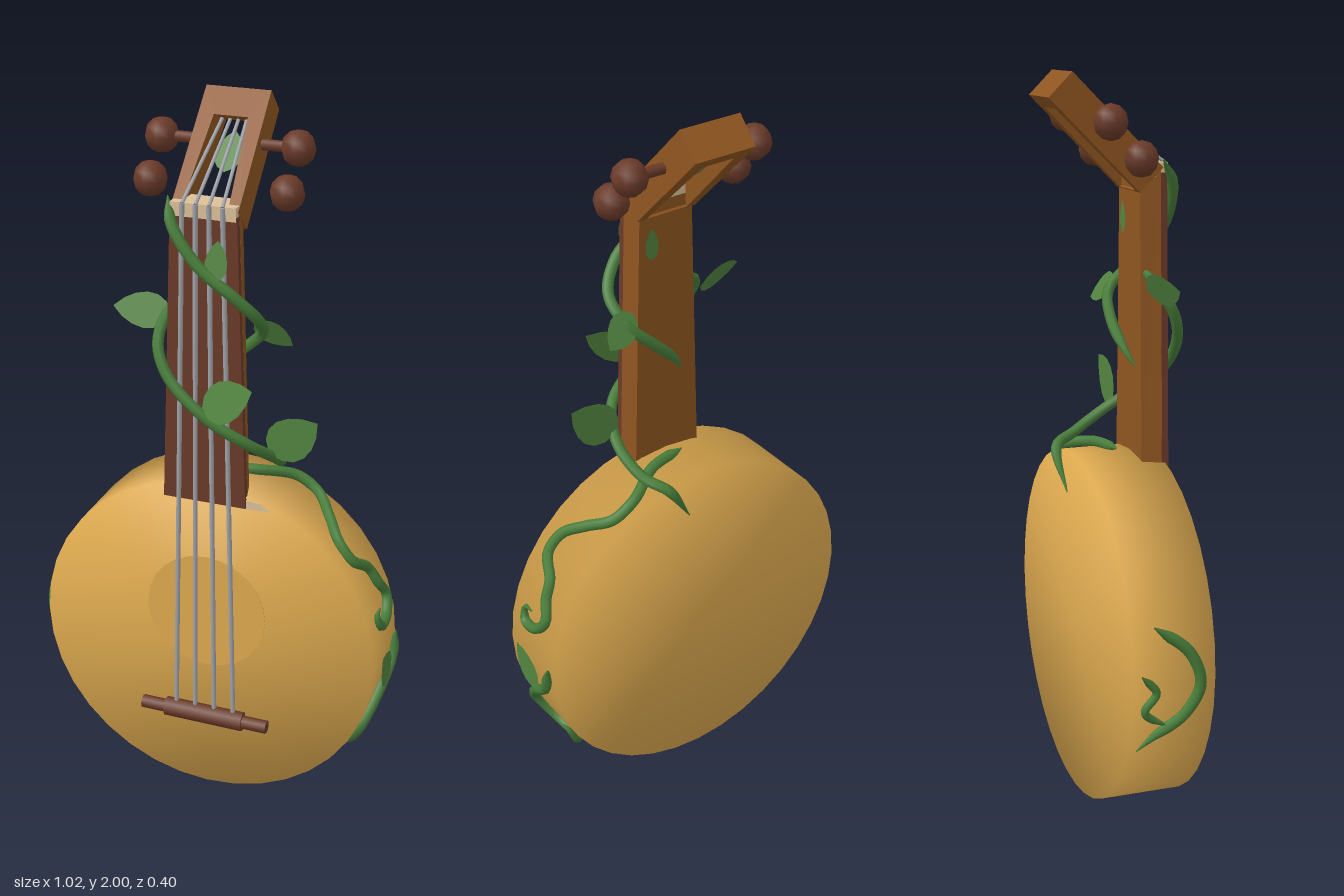
import * as THREE from 'three';
import { mergeVertices } from 'three/addons/utils/BufferGeometryUtils.js';

const mat = (name, color, side = THREE.FrontSide) => {
  const m = new THREE.MeshStandardMaterial({ color, side });
  m.name = name;
  return m;
};
const V = (x, y, z) => new THREE.Vector3(x, y, z);
const flat = list => list.map(p => new THREE.Vector2(...p));
const CY = 0.493, R = 0.489; // drum centre height and radius

export function createModel() {
  const root = new THREE.Group();
  const gold = mat('golden wood', 0xdfab50);
  const wood = mat('brown wood', 0x8f5520);
  const dark = mat('dark red wood', 0x6a3a29);
  const steel = mat('string steel', 0x9fa2a8);
  const bone = mat('bone', 0xdcc09a);
  const vineGreen = mat('vine green', 0x487d3a);
  const leafGreen = mat('leaf green', 0x528440, THREE.DoubleSide);

  const add = (name, geometry, material, x = 0, y = 0, z = 0) => {
    const mesh = new THREE.Mesh(geometry, material);
    mesh.name = name;
    mesh.position.set(x, y, z);
    root.add(mesh);
    return mesh;
  };
  // Straight round bar between two points
  const rod = (name, a, b, r, material, sides = 8) => {
    const d = b.clone().sub(a);
    const m = add(name, new THREE.CylinderGeometry(r, r, d.length(), sides), material);
    m.position.copy(a).add(b).multiplyScalar(0.5);
    m.quaternion.setFromUnitVectors(V(0, 1, 0), d.normalize());
  };

  // Drum body, with normals blended softly over the rim
  let drum = new THREE.CylinderGeometry(R, R, 0.225, 36);
  drum.deleteAttribute('normal');
  drum.deleteAttribute('uv');
  drum = mergeVertices(drum, 1e-4);
  drum.rotateX(Math.PI / 2);
  drum.computeVertexNormals();
  add('body', drum, gold, 0, CY, -0.0085);
  add('soundDisc', new THREE.CylinderGeometry(0.175, 0.175, 0.004, 24).rotateX(Math.PI / 2), gold, 0, 0.585, 0.104);

  // Tapered neck slabs: wide at the body, narrower at the nut and at the back
  const slab = (name, y0, y1, z0, z1, back, material) => {
    const g = new THREE.BoxGeometry(1, y1 - y0, z1 - z0).toNonIndexed();
    const p = g.attributes.position;
    for (let i = 0; i < p.count; i++) {
      const w = p.getY(i) > 0 ? 0.18 : 0.235;
      p.setX(i, p.getX(i) * w * (p.getZ(i) < 0 ? back : 1));
    }
    g.computeVertexNormals();
    add(name, g, material, 0, (y0 + y1) / 2, (z0 + z1) / 2);
  };
  slab('neck', 0.94, 1.75, 0.042, 0.096, 0.88, wood);
  slab('fingerboard', 0.935, 1.74, 0.095, 0.114, 1, dark);

  // Small pale inlay beside the foot of the neck
  const inlay = new THREE.Shape(flat([[0.115, 0.93], [0.185, 0.934], [0.155, 0.953], [0.115, 0.957]]));
  add('neckInlay', new THREE.ExtrudeGeometry(inlay, { depth: 0.004, bevelEnabled: false }), bone, 0, 0, 0.103);

  // Slotted headstock, leaning back, with the slot longer at the back
  const head = new THREE.Shape(flat([[-0.09, 0], [0.09, 0], [0.088, 0.348], [-0.088, 0.348]]));
  head.holes.push(new THREE.Path(flat([[-0.062, 0.004], [-0.046, 0.265], [0.046, 0.265], [0.062, 0.004]])));
  const headGeo = new THREE.ExtrudeGeometry(head, { depth: 0.09, bevelEnabled: false });
  const hp = headGeo.attributes.position;
  for (let i = 0; i < hp.count; i++) {
    if (hp.getZ(i) < 0.01 && Math.abs(hp.getY(i) - 0.265) < 0.001) hp.setY(i, 0.305);
  }
  headGeo.computeVertexNormals();
  add('headstock', headGeo, wood, 0, 1.69, 0.04).rotation.x = -Math.PI / 4;

  // Nut, with tuning pegs on both sides
  add('nut', new THREE.BoxGeometry(0.176, 0.036, 0.076), bone, 0, 1.748, 0.079);
  for (const s of [-1, 1]) {
    rod('pegShaft', V(s * 0.07, 1.878, -0.074), V(s * 0.185, 1.878, -0.074), 0.015, dark);
    for (const [y, z] of [[1.878, -0.074], [1.785, 0.008]]) {
      add('tuningPeg', new THREE.SphereGeometry(0.047, 8, 6), dark, s * 0.185, y, z);
    }
  }

  // Bridge
  rod('bridgeBar', V(-0.19, 0.25, 0.122), V(0.19, 0.25, 0.122), 0.019, dark);
  rod('bridgeBlock', V(-0.118, 0.25, 0.12), V(0.118, 0.25, 0.12), 0.028, dark);

  // Four strings from bridge over the nut into the slot
  for (const t of [-1.5, -0.5, 0.5, 1.5]) {
    const a = V(t * 0.058, 0.26, 0.119), b = V(t * 0.036, 1.765, 0.12), c = V(t * 0.022, 1.925, -0.11);
    rod('string', a, b, 0.007, steel);
    rod('stringEnd', b, c, 0.005, steel);
  }

  // Vines: tubes that thin towards both ends
  const vine = (name, points, r = 0.0155) => {
    const curve = new THREE.CatmullRomCurve3(points);
    const n = points.length * 6, sides = 7;
    const g = new THREE.TubeGeometry(curve, n, r, sides);
    const p = g.attributes.position, v = V(0, 0, 0);
    for (let i = 0; i <= n; i++) {
      const c = curve.getPointAt(i / n);
      const k = Math.min(1, 0.1 + 0.25 * i, 0.1 + 0.12 * (n - i));
      for (let j = 0; j <= sides; j++) {
        const q = i * (sides + 1) + j;
        v.fromBufferAttribute(p, q).sub(c).multiplyScalar(k).add(c);
        p.setXYZ(q, v.x, v.y, v.z);
      }
    }
    add(name, g, vineGreen);
  };
  const path = list => list.map(p => V(...p));
  // Points given as height and depth, laid on the drum's rim
  const rim = (side, list) => list.map(([y, z]) =>
    V(side * Math.sqrt(Math.max(0, (R + 0.008) ** 2 - (y - CY) ** 2)), y, z));

  vine('upperNeckVine', path([[-0.1, 1.775, 0.1], [-0.075, 1.71, 0.135], [0, 1.615, 0.15], [0.09, 1.545, 0.143],
    [0.142, 1.475, 0.1], [0.13, 1.41, 0.03], [0.06, 1.34, 0.01], [-0.02, 1.26, 0.025], [-0.05, 1.21, 0.05]]));
  vine('lowerNeckVine', path([[-0.06, 1.5, 0.045], [-0.115, 1.45, 0.075], [-0.125, 1.38, 0.12], [-0.085, 1.3, 0.148],
    [0.02, 1.205, 0.155], [0.125, 1.13, 0.12], [0.17, 1.06, 0.03], [0.155, 1.0, -0.07], [0.115, 0.975, -0.13], [0.04, 0.86, -0.124]]));
  vine('shoulderVine', [V(-0.02, 0.99, 0.0), V(0.1, 0.985, -0.03), V(0.2, 0.955, -0.09),
    ...rim(1, [[0.915, -0.085], [0.88, -0.025], [0.84, 0.03], [0.79, 0.035], [0.745, -0.02], [0.7, -0.035],
      [0.65, -0.06], [0.605, -0.025], [0.6, 0.03], [0.635, 0.042], [0.64, 0.005]])]);
  vine('leftSideVine', rim(1, [[0.515, -0.1], [0.43, -0.075], [0.36, 0.005], [0.28, 0.06], [0.21, 0.03],
    [0.185, -0.05], [0.215, -0.095], [0.26, -0.09], [0.25, -0.06]]));
  vine('rightSideVine', rim(-1, [[0.64, -0.06], [0.57, 0.03], [0.48, 0.06], [0.4, 0.02], [0.34, -0.06], [0.3, -0.1]]));
  vine('rightSideCurl', rim(-1, [[0.52, -0.1], [0.47, -0.06], [0.42, -0.09], [0.38, -0.04], [0.37, -0.02]]), 0.011);

  // Leaves: pointed blades from base to tip, facing a given way
  const leaf = (base, tip, width, facing) => {
    const a = V(...base), d = V(...tip).sub(a), len = d.length();
    const s = new THREE.Shape();
    s.moveTo(0, 0);
    s.bezierCurveTo(width * 0.75, len * 0.15, width * 0.6, len * 0.7, 0, len);
    s.bezierCurveTo(-width * 0.6, len * 0.7, -width * 0.75, len * 0.15, 0, 0);
    const y = d.normalize(), x = y.clone().cross(V(...facing)).normalize();
    const m = add('leaf', new THREE.ShapeGeometry(s, 6), leafGreen);
    m.quaternion.setFromRotationMatrix(new THREE.Matrix4().makeBasis(x, y, x.clone().cross(y)));
    m.position.copy(a);
  };
  leaf([-0.115, 1.44, 0.05], [-0.265, 1.455, 0.085], 0.095, [0, 0.5, 1]);
  leaf([0.045, 1.58, 0.155], [0.048, 1.685, 0.135], 0.06, [0, 0.2, 1]);
  leaf([0.045, 1.57, 0.039], [0.045, 1.66, 0.039], 0.04, [0, 0, -1]);
  leaf([0.11, 1.44, 0.035], [0.205, 1.375, 0], 0.085, [0, -0.45, 0.9]);
  leaf([0.01, 1.225, 0.155], [0.16, 1.315, 0.19], 0.11, [-0.4, 0.3, 1]);
  leaf([0.16, 1.08, 0.05], [0.295, 1.19, 0.055], 0.12, [0, 0, 1]);
  leaf([0, 1.808, -0.035], [0, 1.895, -0.12], 0.075, [0, 0.7, 0.7]);
  leaf([0.5, 0.4, -0.035], [0.502, 0.51, 0.055], 0.1, [1, 0, 0]);

  return root;
}
